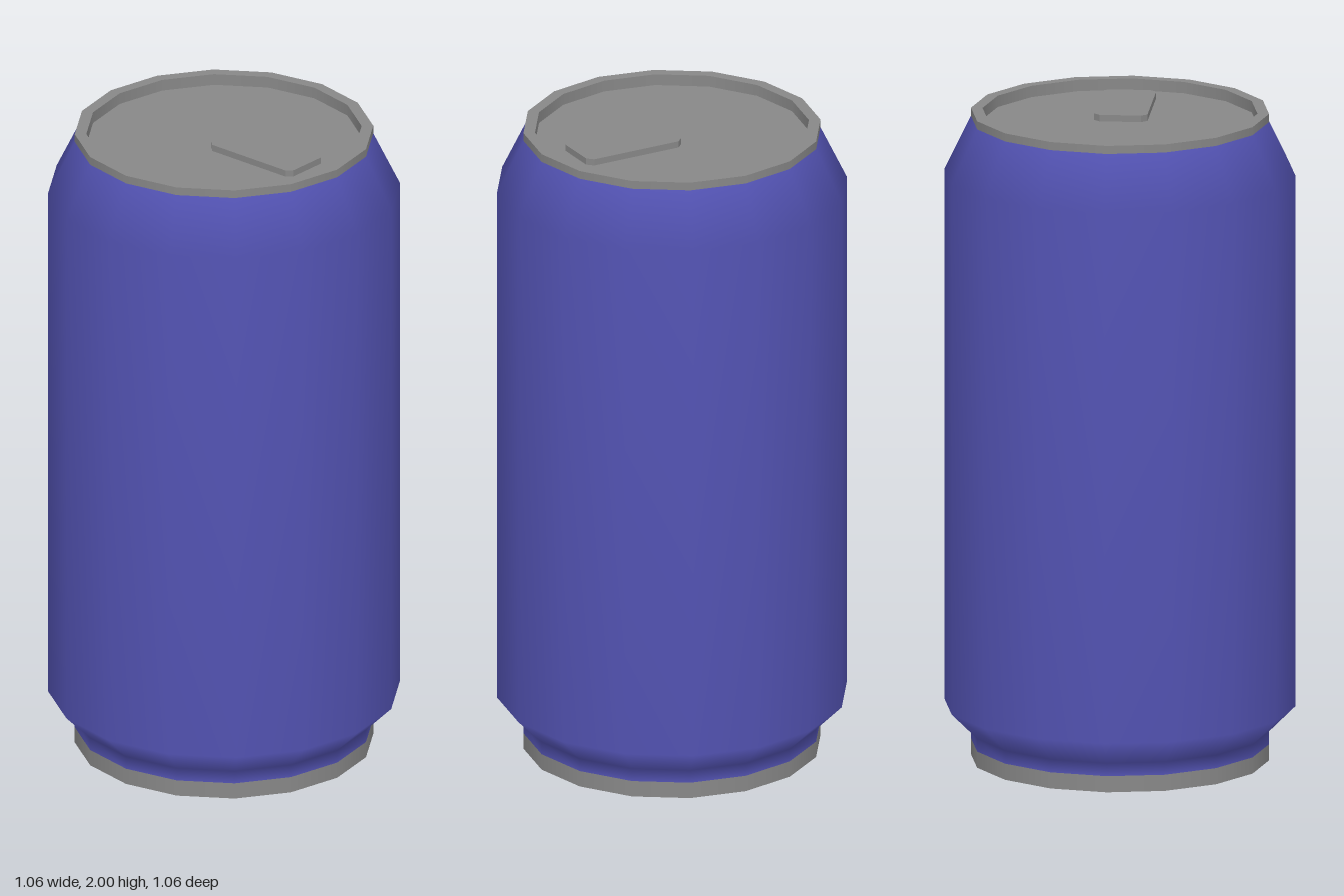
import * as THREE from 'three';

const SIDES = 16;

export function createModel() {
  const can = new THREE.Group();
  can.name = 'drinkCan';
  const paint = new THREE.MeshStandardMaterial({ name: 'bluePaint', color: 0x5353b3 });
  const metal = new THREE.MeshStandardMaterial({ name: 'greyMetal', color: 0x888888 });

  const lathe = (name, points, material) => {
    const profile = points.map(([r, y]) => new THREE.Vector2(r, y));
    const mesh = new THREE.Mesh(new THREE.LatheGeometry(profile, SIDES), material);
    mesh.name = name;
    return mesh;
  };

  // Each profile segment is its own band, so the edges between them stay sharp
  const metalPart = (name, points, bandNames) => {
    const group = new THREE.Group();
    group.name = name;
    bandNames.forEach((band, i) => group.add(lathe(band, [points[i], points[i + 1]], metal)));
    can.add(group);
  };

  // Painted wall with smooth shoulders
  can.add(lathe('body', [[0.45, 0.05], [0.45, 0.09], [0.53, 0.17], [0.53, 1.81], [0.45, 1.975]], paint));

  // Recessed base and its foot ring
  metalPart('base', [[0, 0.08], [0.415, 0.08], [0.415, 0], [0.45, 0], [0.45, 0.05]],
    ['baseDisc', 'footInner', 'footEdge', 'footOuter']);

  // Rim and recessed lid
  metalPart('top', [[0.45, 1.975], [0.45, 2], [0.415, 2], [0.415, 1.965], [0, 1.965]],
    ['rimOuter', 'rimEdge', 'rimInner', 'lid']);

  // Pull tab with clipped corners and a finger slot
  const clippedRect = (PathType, x, z0, z1, c) => new PathType([
    [-x + c, z0], [x - c, z0], [x, z0 + c], [x, z1 - c],
    [x - c, z1], [-x + c, z1], [-x, z1 - c], [-x, z0 + c],
  ].map(([px, pz]) => new THREE.Vector2(px, -pz)));
  const outline = clippedRect(THREE.Shape, 0.081, 0.005, 0.332, 0.018);
  outline.holes.push(clippedRect(THREE.Path, 0.067, 0.02, 0.071, 0.012));
  const tabGeometry = new THREE.ExtrudeGeometry(outline, { depth: 0.02, bevelEnabled: false });
  tabGeometry.rotateX(-Math.PI / 2);
  const tab = new THREE.Mesh(tabGeometry, metal);
  tab.name = 'pullTab';
  tab.position.y = 1.965;
  can.add(tab);

  return can;
}
